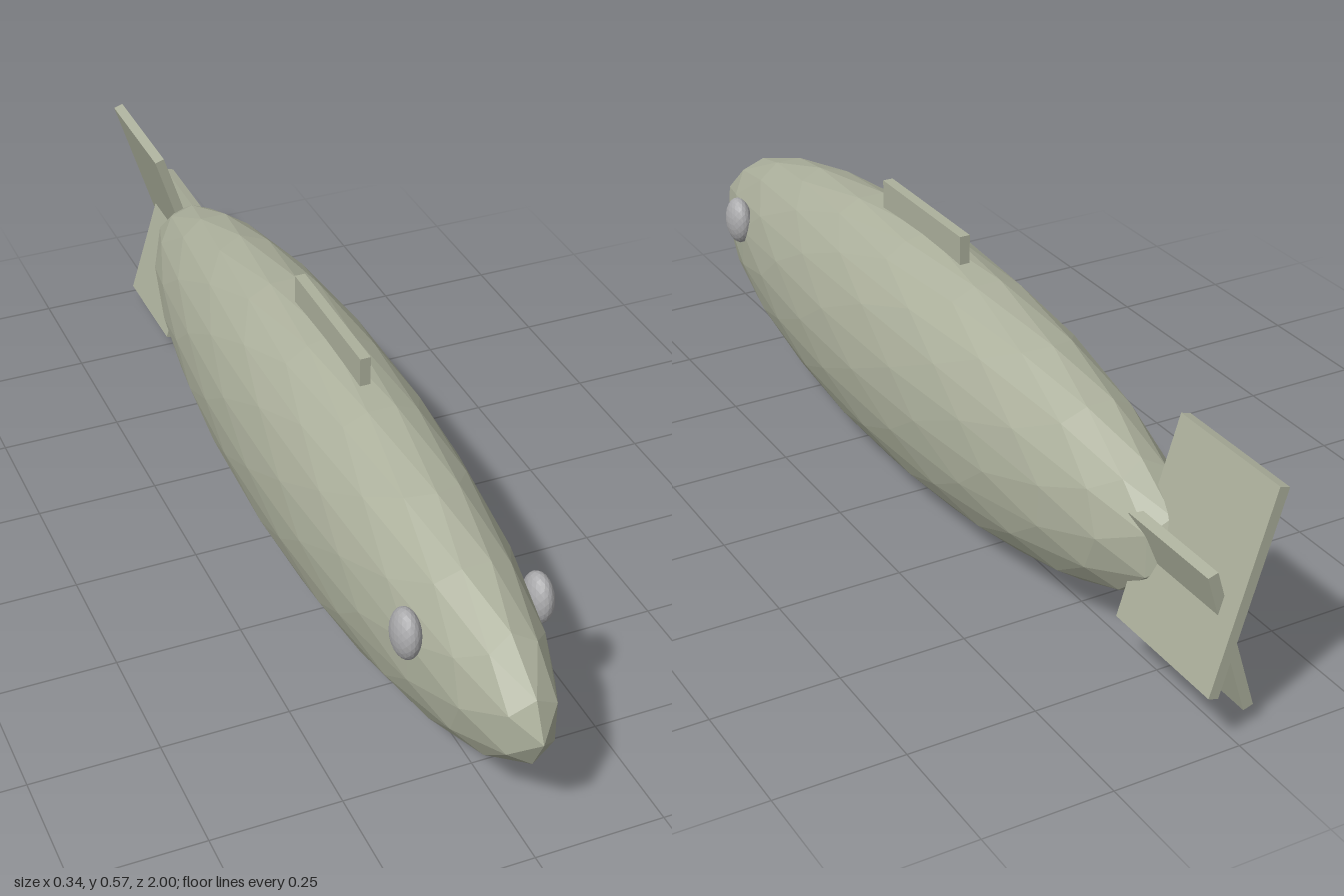
import * as THREE from 'three';

// Faceted sphere: icosahedron halved repeatedly, each new point pushed to the unit sphere
function facetedSphere(steps) {
  const p = new THREE.IcosahedronGeometry(1, 0).attributes.position;
  let tris = [];
  for (let i = 0; i < p.count; i += 3) {
    tris.push([0, 1, 2].map((k) => new THREE.Vector3().fromBufferAttribute(p, i + k)));
  }
  const mid = (a, b) => a.clone().add(b).normalize();
  for (let s = 0; s < steps; s++) {
    tris = tris.flatMap(([a, b, c]) => {
      const ab = mid(a, b), bc = mid(b, c), ca = mid(c, a);
      return [[a, ab, ca], [ab, b, bc], [ca, bc, c], [ab, bc, ca]];
    });
  }
  return new THREE.BufferGeometry().setFromPoints(tris.flat());
}

function createModel() {
  const group = new THREE.Group();
  const hullGreen = new THREE.MeshStandardMaterial({ color: 0xacb09c, flatShading: true });
  hullGreen.name = 'greyGreen';
  const eyeGrey = new THREE.MeshStandardMaterial({ color: 0xaaaaac, flatShading: true });
  eyeGrey.name = 'lightGrey';

  function add(name, geometry, material, x, y, z, roll = 0) {
    geometry.computeVertexNormals();
    const mesh = new THREE.Mesh(geometry, material);
    mesh.name = name;
    mesh.position.set(x, y, z);
    mesh.rotation.z = roll;
    group.add(mesh);
  }

  // Long tapered body
  add('body', facetedSphere(2).scale(0.172, 0.258, 0.905), hullGreen, 0, 0.259, 0.095);

  // Low fin along the back
  add('backFin', new THREE.BoxGeometry(0.021, 0.06, 0.314), hullGreen, 0, 0.537, 0.101);

  // Two crossed tail plates
  add('upperTailFin', new THREE.BoxGeometry(0.0205, 0.39, 0.28), hullGreen, 0.003, 0.304, -0.86, 0.3);
  add('lowerTailFin', new THREE.BoxGeometry(0.0205, 0.306, 0.237), hullGreen, 0, 0.184, -0.84, -0.3);

  // Eyes on both sides
  for (const side of [1, -1]) {
    add(side > 0 ? 'leftEye' : 'rightEye', facetedSphere(2).scale(0.026, 0.051, 0.04), eyeGrey,
      side * 0.126, 0.325, 0.724);
  }
  return group;
}

export { createModel };
